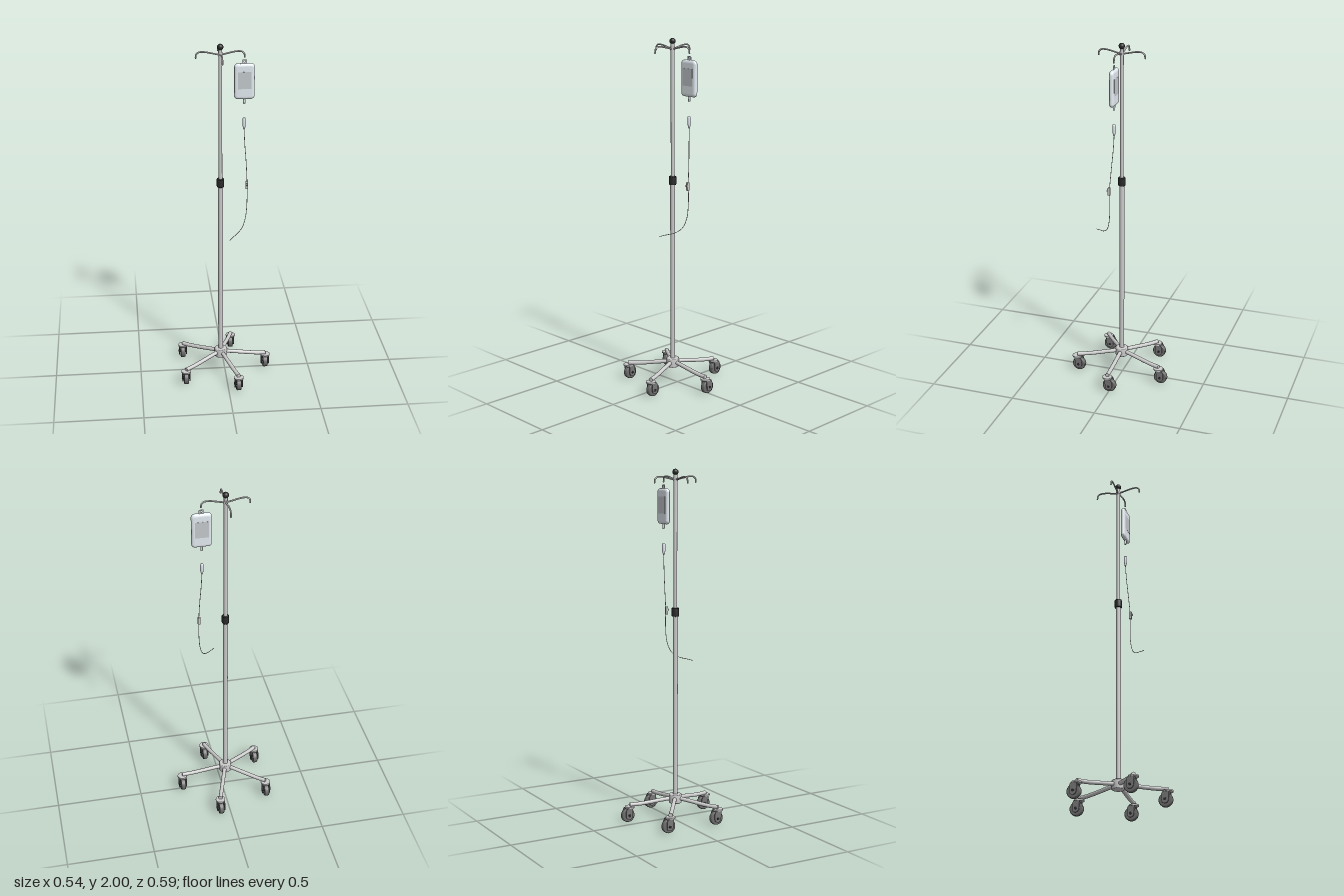
import * as THREE from 'three';

const mat = (color) => new THREE.MeshStandardMaterial({ color });
const steel = mat(0xcccccc);
const black = mat(0x2b2b2b);
const rubber = mat(0x6c6c6c);
const forkGrey = mat(0x777777);
const film = mat(0xe4ecf2);
const labelGrey = mat(0xc4c9cd);

const v = (x, y, z) => new THREE.Vector3(x, y, z);

function add(parent, name, geometry, material, x = 0, y = 0, z = 0) {
  const mesh = new THREE.Mesh(geometry, material);
  mesh.name = name;
  mesh.position.set(x, y, z);
  parent.add(mesh);
  return mesh;
}

const lathe = (pts, sides = 32) =>
  new THREE.LatheGeometry(pts.map(([r, y]) => new THREE.Vector2(r, y)), sides);

const tube = (pts, radius, segments = 32, sides = 12) =>
  new THREE.TubeGeometry(new THREE.CatmullRomCurve3(pts), segments, radius, sides);

function roundedRect(w, h, r) {
  const s = new THREE.Shape();
  const x = w / 2, y = h / 2;
  s.absarc(x - r, y - r, r, 0, Math.PI / 2);
  s.absarc(-x + r, y - r, r, Math.PI / 2, Math.PI);
  s.absarc(-x + r, -y + r, r, Math.PI, Math.PI * 1.5);
  s.absarc(x - r, -y + r, r, Math.PI * 1.5, Math.PI * 2);
  s.closePath();
  return s;
}

// Swivel caster trailing towards -z, origin on the floor under the leg end
function makeCaster() {
  const caster = new THREE.Group();
  caster.name = 'caster';
  add(caster, 'mountDisc', new THREE.CylinderGeometry(0.028, 0.028, 0.008, 32), steel, 0, 0.086, 0);
  add(caster, 'swivelStem', new THREE.CylinderGeometry(0.011, 0.011, 0.012, 20), forkGrey, 0, 0.078, 0);
  add(caster, 'forkBridge', new THREE.BoxGeometry(0.046, 0.005, 0.034), forkGrey, 0, 0.08, -0.008);

  const tyre = lathe([
    [0.012, -0.014], [0.034, -0.014], [0.0375, -0.012], [0.039, -0.008],
    [0.039, 0.008], [0.0375, 0.012], [0.034, 0.014], [0.012, 0.014],
  ], 36);
  add(caster, 'wheel', tyre, rubber, 0, 0.039, -0.014).rotation.z = Math.PI / 2;
  add(caster, 'axle', new THREE.CylinderGeometry(0.008, 0.008, 0.05, 18), black, 0, 0.039, -0.014)
    .rotation.z = Math.PI / 2;

  // Side plate drawn in (z, y), reaching round the axle
  const plate = new THREE.Shape();
  plate.moveTo(0.01, 0.082);
  plate.lineTo(-0.026, 0.082);
  plate.lineTo(-0.034, 0.066);
  plate.lineTo(-0.034, 0.036);
  plate.absarc(-0.014, 0.036, 0.02, Math.PI, Math.PI * 2);
  plate.closePath();
  const plateGeo = new THREE.ExtrudeGeometry(plate, { depth: 0.005, bevelEnabled: false, curveSegments: 12 });
  plateGeo.rotateY(-Math.PI / 2);
  for (const x of [-0.018, 0.023]) add(caster, 'forkPlate', plateGeo, forkGrey, x, 0, 0);
  return caster;
}

// Fluid bag with pillow edges, label, hanger and outlet port
function makeBag() {
  const bag = new THREE.Group();
  bag.name = 'fluidBag';
  const body = new THREE.ExtrudeGeometry(roundedRect(0.078, 0.166, 0.004), {
    depth: 0.004, bevelThickness: 0.012, bevelSize: 0.017, bevelSegments: 6, curveSegments: 6,
  });
  body.translate(0, 0, -0.002);
  add(bag, 'bagBody', body, film);
  for (const side of [-1, 1])
    add(bag, 'bagLabel', new THREE.BoxGeometry(0.074, 0.095, 0.001), labelGrey, 0, 0.007, side * 0.0143);

  const hanger = roundedRect(0.026, 0.024, 0.005);
  const slot = new THREE.Path();
  slot.absarc(0, 0.003, 0.005, 0, Math.PI * 2, true);
  hanger.holes.push(slot);
  const hangerGeo = new THREE.ExtrudeGeometry(hanger, { depth: 0.004, bevelEnabled: false });
  add(bag, 'hangerTab', hangerGeo, film, 0, 0.109, -0.002);
  add(bag, 'outletPort', new THREE.CylinderGeometry(0.007, 0.006, 0.036, 16), film, 0, -0.109, 0);
  return bag;
}

export function createModel() {
  const model = new THREE.Group();
  model.name = 'dripStand';

  // Stand, with its axis at the origin of the group
  const stand = new THREE.Group();
  stand.name = 'stand';
  stand.position.set(-0.025, 0, 0.0125);
  model.add(stand);

  add(stand, 'baseHub', lathe([
    [0, 0.095], [0.033, 0.095], [0.037, 0.099], [0.037, 0.143], [0.033, 0.148], [0, 0.148],
  ]), steel);
  add(stand, 'lowerPole', new THREE.CylinderGeometry(0.014, 0.014, 1.06, 28), steel, 0, 0.66, 0);
  add(stand, 'upperPole', new THREE.CylinderGeometry(0.0105, 0.0105, 0.8, 28), steel, 0, 1.58, 0);
  add(stand, 'heightCollar', lathe([
    [0.013, 1.178], [0.019, 1.178], [0.021, 1.182], [0.021, 1.222], [0.019, 1.226], [0.01, 1.226],
  ]), black);
  add(stand, 'topKnob', new THREE.SphereGeometry(0.017, 28, 18), black, 0, 1.983, 0);
  add(stand, 'hookCollar', new THREE.CylinderGeometry(0.013, 0.013, 0.02, 24), steel, 0, 1.942, 0);

  // Five legs, each ending over a caster
  const legGeo = tube([
    v(0.02, 0.124, 0), v(0.08, 0.117, 0), v(0.16, 0.106, 0), v(0.22, 0.1, 0), v(0.265, 0.099, 0),
  ], 0.0115, 24, 18);
  for (let i = 0; i < 5; i++) {
    const a = (i * Math.PI * 2) / 5;
    const leg = new THREE.Group();
    leg.name = 'leg';
    leg.rotation.y = -a;
    add(leg, 'legTube', legGeo, steel);
    add(leg, 'legEndCap', new THREE.CylinderGeometry(0.0115, 0.0115, 0.002, 18), steel, 0.265, 0.099, 0)
      .rotation.z = Math.PI / 2;
    stand.add(leg);
    const caster = makeCaster();
    caster.position.set(0.266 * Math.cos(a), 0, 0.266 * Math.sin(a));
    stand.add(caster);
  }

  // Four drooping hooks
  const hookGeo = tube([
    v(0.006, 1.94, 0), v(0.045, 1.949, 0), v(0.085, 1.957, 0),
    v(0.115, 1.956, 0), v(0.129, 1.945, 0), v(0.132, 1.926, 0),
  ], 0.0045, 36, 12);
  for (let i = 0; i < 4; i++) {
    const hook = new THREE.Group();
    hook.name = 'hook';
    hook.rotation.y = (i * Math.PI) / 2;
    add(hook, 'hookRod', hookGeo, steel);
    add(hook, 'hookTip', new THREE.SphereGeometry(0.0048, 14, 10), steel, 0.132, 1.926, 0);
    stand.add(hook);
  }

  const bag = makeBag();
  bag.position.set(0.106, 1.789, 0.0125);
  model.add(bag);

  // Infusion line: drip chamber, tube and clamp
  add(model, 'dripChamber', lathe([
    [0, 1.512], [0.003, 1.513], [0.006, 1.523], [0.01, 1.54], [0.01, 1.574], [0.008, 1.579], [0, 1.58],
  ], 20), film, 0.106, 0, 0.0125);
  add(model, 'infusionTube', tube([
    v(0.106, 1.515, 0.0125), v(0.11, 1.43, 0.017), v(0.117, 1.33, 0.025), v(0.122, 1.21, 0.034),
    v(0.123, 1.1, 0.034), v(0.116, 1.01, 0.04), v(0.098, 0.953, 0.059), v(0.068, 0.926, 0.09),
    v(0.04, 0.917, 0.121), v(0.014, 0.908, 0.152),
  ], 0.0018, 80, 8), steel);
  add(model, 'rollerClamp', new THREE.BoxGeometry(0.014, 0.045, 0.013), steel, 0.12, 1.193, 0.038);
  add(model, 'clampWheel', new THREE.CylinderGeometry(0.007, 0.007, 0.009, 18), forkGrey, 0.12, 1.197, 0.044)
    .rotation.z = Math.PI / 2;

  return model;
}
